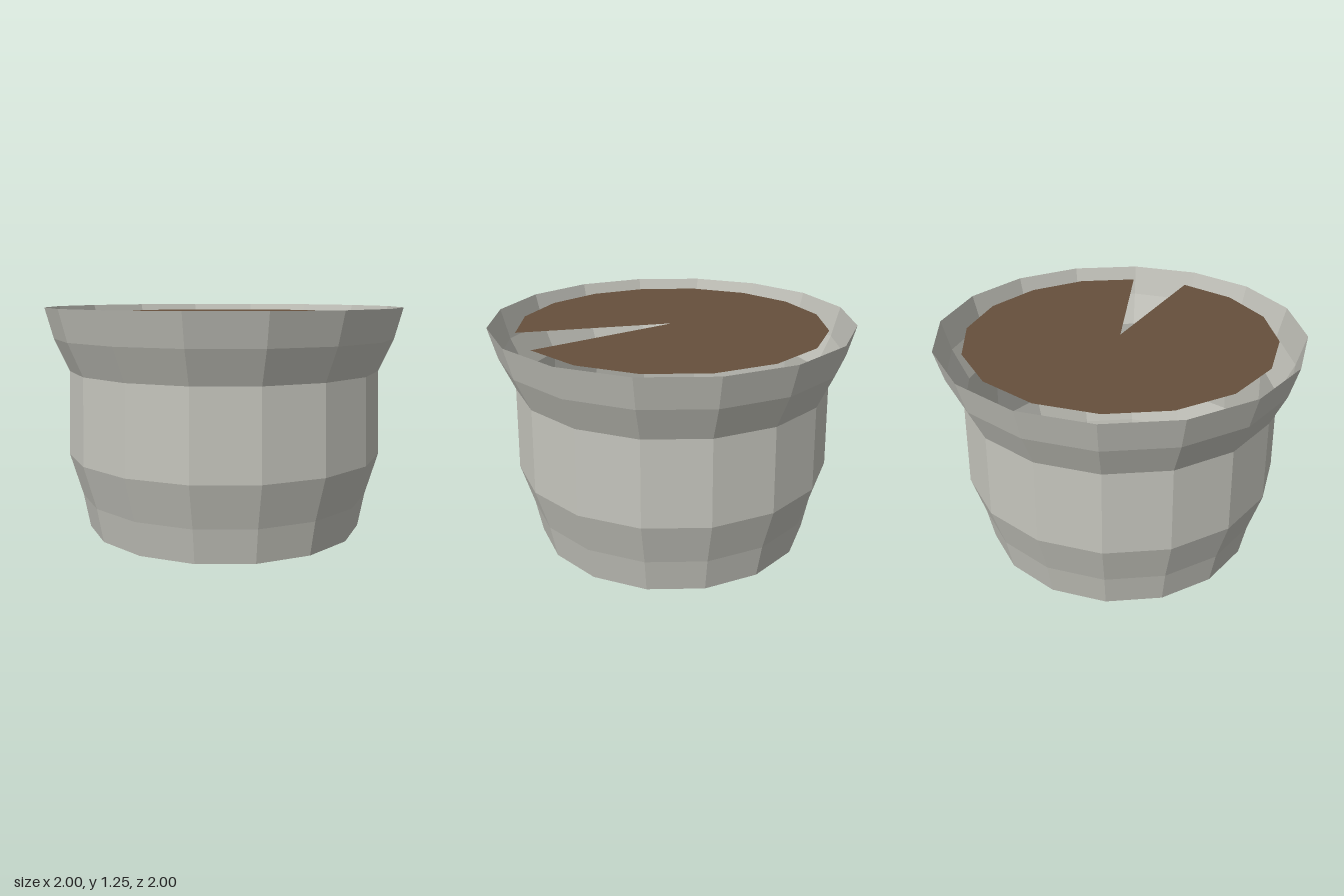
import * as THREE from 'three';

const SIDES = 16;

export function createModel() {
  const model = new THREE.Group();
  model.name = 'plantPot';

  const stone = new THREE.MeshStandardMaterial({ color: 0xc3c3bb, side: THREE.DoubleSide, flatShading: true });
  stone.name = 'pale stone grey';
  const earth = new THREE.MeshStandardMaterial({ color: 0x66503c, side: THREE.DoubleSide, flatShading: true });
  earth.name = 'earth brown';

  // Thin faceted wall, open at the top: [radius, height]
  const profile = [
    [0.785, 0], [0.82, 0.19], [0.89, 0.43],
    [0.875, 0.9], [0.955, 1.08], [1, 1.25],
  ].map(([r, y]) => new THREE.Vector2(r, y));
  const wall = new THREE.Mesh(new THREE.LatheGeometry(profile, SIDES), stone);
  wall.name = 'potWall';
  model.add(wall);

  // Closed base
  const base = new THREE.Mesh(new THREE.CircleGeometry(0.785, SIDES).rotateX(Math.PI / 2), stone);
  base.name = 'potBase';
  model.add(base);

  // Soil disc just below the rim, with one open segment
  const sweep = (Math.PI * 2 * (SIDES - 1)) / SIDES;
  const soil = new THREE.Mesh(
    new THREE.CircleGeometry(0.855, SIDES - 1, 0, sweep).rotateX(-Math.PI / 2), earth);
  soil.name = 'soil';
  soil.position.y = 1.215;
  model.add(soil);

  return model;
}
